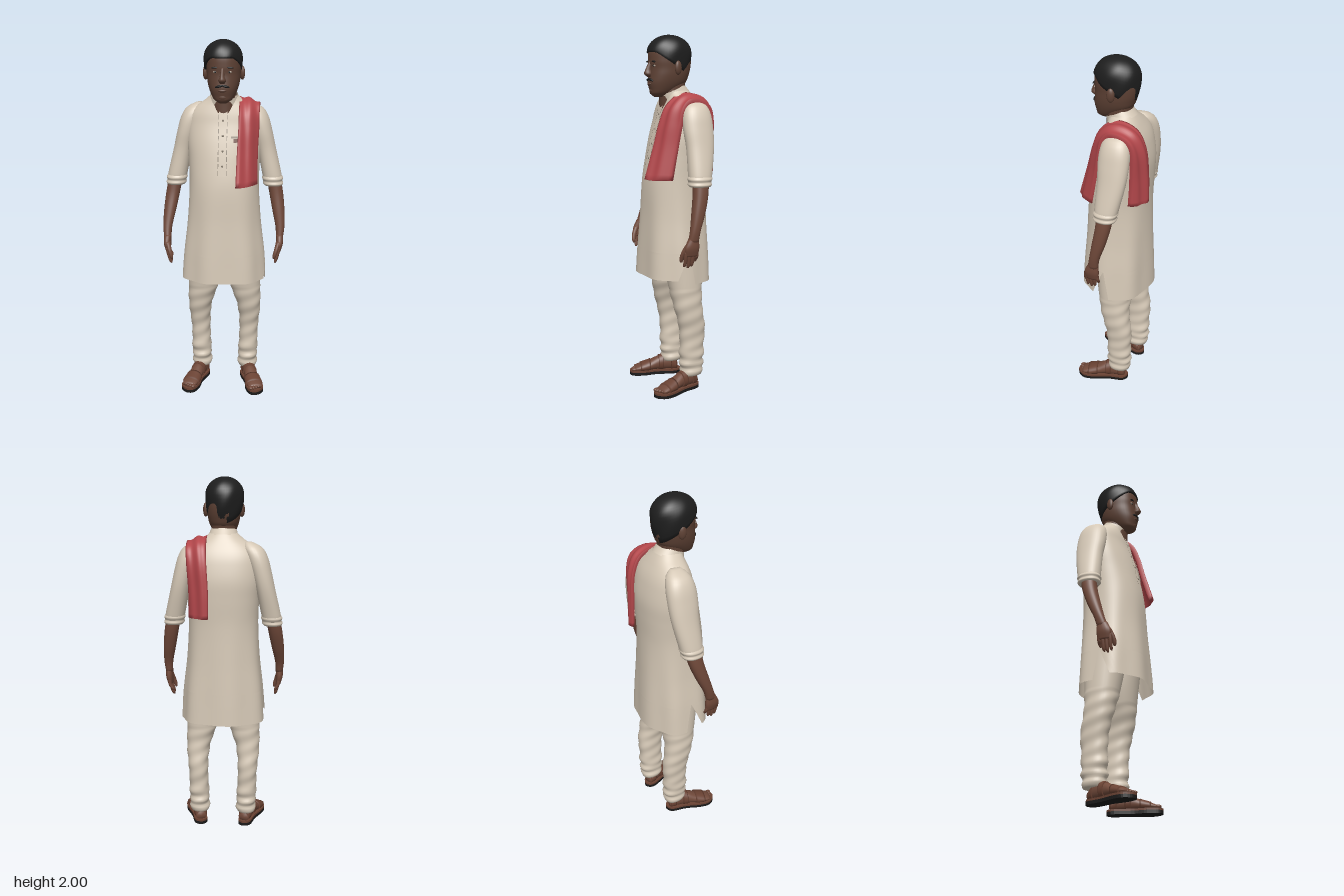
import * as THREE from 'three';

const mat = (name, color, side = THREE.FrontSide) => {
  const m = new THREE.MeshStandardMaterial({ color, side });
  m.name = name;
  return m;
};

// Smooth (Hermite) interpolation of rows [y, cx, cz, rx, rz] at height y
function rowAt(rows, y) {
  let i = 0;
  while (i < rows.length - 2 && y > rows[i + 1][0]) i++;
  const a = rows[i], b = rows[i + 1], h = b[0] - a[0];
  const t = Math.min(1, Math.max(0, (y - a[0]) / h));
  const p = rows[Math.max(0, i - 1)], q = rows[Math.min(rows.length - 1, i + 2)];
  return a.map((v, k) => {
    if (k === 0) return y;
    const m0 = (b[k] - p[k]) / (b[0] - p[0]) * h, m1 = (q[k] - v) / (q[0] - a[0]) * h;
    const t2 = t * t, t3 = t2 * t;
    return (2 * t3 - 3 * t2 + 1) * v + (t3 - 2 * t2 + t) * m0 + (3 * t2 - 2 * t3) * b[k] + (t3 - t2) * m1;
  });
}

// Point on the rounded cross-section at angle a
function ringPoint(r, a, n = 2.25, grow = 0) {
  const f = v => Math.sign(v) * Math.pow(Math.abs(v), 2 / n);
  return new THREE.Vector3(r[1] + (r[3] + grow) * f(Math.cos(a)), r[0], r[2] + (r[4] + grow) * f(Math.sin(a)));
}

// Surface through rings of points; closed joins each ring, caps fill the ends
function skin(rings, closed = true, caps = closed) {
  if (caps) {
    const mid = r => {
      const c = r.reduce((s, p) => s.add(p), new THREE.Vector3()).divideScalar(r.length);
      return r.map(() => c);
    };
    rings = [mid(rings[0]), ...rings, mid(rings[rings.length - 1])];
  }
  const n = rings[0].length, idx = [], cols = closed ? n : n - 1;
  for (let i = 0; i < rings.length - 1; i++) for (let j = 0; j < cols; j++) {
    const k = (j + 1) % n, a = i * n + j, b = i * n + k, d = a + n, c = b + n;
    idx.push(a, d, b, b, d, c);
  }
  const g = new THREE.BufferGeometry().setFromPoints(rings.flat());
  g.setIndex(idx);
  g.computeVertexNormals();
  return g;
}

function loft(rows, { y0 = rows[0][0], y1 = rows[rows.length - 1][0], steps = rows.length * 4, seg = 32, n = 2.25, grow = 0, caps = true, ripple = () => 0 } = {}) {
  const rings = [];
  for (let i = 0; i <= steps; i++) {
    const y = y0 + (y1 - y0) * i / steps, r = rowAt(rows, y);
    rings.push(Array.from({ length: seg }, (_, j) => {
      const a = j / seg * Math.PI * 2;
      return ringPoint(r, a, n, grow + ripple(y, a));
    }));
  }
  return skin(rings, true, caps);
}

// Thin plate lying on the front of a lofted surface
function patch(rows, x0, x1, y0, y1, off, n = 2.25) {
  const rings = [];
  for (let i = 0; i <= 10; i++) {
    const r = rowAt(rows, y0 + (y1 - y0) * i / 10);
    rings.push(Array.from({ length: 9 }, (_, j) => {
      const x = x1 + (x0 - x1) * j / 8, u = Math.min(1, Math.abs((x - r[1]) / r[3]));
      return new THREE.Vector3(x, r[0], r[2] + r[4] * Math.pow(1 - Math.pow(u, n), 1 / n) + off);
    }));
  }
  return skin(rings, false);
}

const TUNIC = [[0.64, 0, 0.005, 0.24, 0.192], [0.82, 0, 0.003, 0.226, 0.184], [1, 0, 0, 0.206, 0.175], [1.2, 0, -0.004, 0.195, 0.168],
  [1.35, 0, -0.02, 0.2, 0.158], [1.45, 0, -0.032, 0.208, 0.146], [1.55, 0, -0.038, 0.203, 0.122], [1.6, 0, -0.035, 0.19, 0.108],
  [1.64, 0, -0.03, 0.155, 0.092], [1.67, 0, -0.025, 0.11, 0.08], [1.7, 0, -0.015, 0.076, 0.07]];
const HEAD = [[1.665, 0, 0.085, 0.02, 0.025], [1.68, 0, 0.075, 0.045, 0.055], [1.7, 0, 0.062, 0.06, 0.072], [1.74, 0, 0.038, 0.078, 0.105],
  [1.78, 0, 0.027, 0.088, 0.113], [1.82, 0, 0.02, 0.092, 0.117], [1.86, 0, 0.02, 0.095, 0.12], [1.92, 0, 0.02, 0.092, 0.114], [1.97, 0, 0.02, 0.06, 0.08]];
const LEG = [[0.085, 0.135, -0.055, 0.05, 0.06], [0.11, 0.135, -0.055, 0.058, 0.069], [0.13, 0.136, -0.055, 0.052, 0.061], [0.155, 0.137, -0.055, 0.059, 0.073],
  [0.18, 0.137, -0.055, 0.053, 0.065], [0.21, 0.139, -0.055, 0.058, 0.073], [0.25, 0.14, -0.055, 0.054, 0.069], [0.36, 0.143, -0.055, 0.056, 0.076],
  [0.42, 0.145, -0.045, 0.061, 0.078], [0.5, 0.14, -0.03, 0.07, 0.083], [0.6, 0.122, -0.022, 0.087, 0.093], [0.75, 0.105, -0.015, 0.1, 0.11], [0.9, 0.1, 0, 0.1, 0.12]];
const FOOT = [[-0.13, 0, -0.045, 0.026, 0.022], [-0.08, 0, -0.065, 0.035, 0.045], [-0.02, 0, -0.064, 0.036, 0.042],
  [0.04, 0, -0.05, 0.042, 0.03], [0.1, 0, -0.04, 0.044, 0.02], [0.13, 0, -0.036, 0.038, 0.012]];

export function createModel() {
  const root = new THREE.Group();
  const cloth = mat('creamCloth', 0xd6c9b7, THREE.DoubleSide), seam = mat('seamThread', 0x8d8273, THREE.DoubleSide);
  const face = mat('faceSkin', 0x5f4235), skinM = mat('armSkin', 0x70493a), hairM = mat('blackHair', 0x1e1e1e, THREE.DoubleSide);
  const red = mat('redScarf', 0xb3474b), leather = mat('sandalLeather', 0x6a4233, THREE.DoubleSide), rubber = mat('soleRubber', 0x1b1a1a);
  const white = mat('eyeWhite', 0xa89a8c);
  const add = (name, geo, m, parent = root) => {
    const mesh = new THREE.Mesh(geo, m);
    mesh.name = name;
    parent.add(mesh);
    return mesh;
  };
  const ball = (name, m, p, s, parent = root) => {
    const b = add(name, new THREE.SphereGeometry(1, 20, 14), m, parent);
    b.position.set(...p);
    b.scale.set(...s);
    return b;
  };

  // Tunic body, then front and back skirt panels parted by side slits
  const wave = (y, a) => 0.006 * Math.max(0, Math.min(1, (1.25 - y) / 0.5)) * Math.sin(7 * a + 1);
  add('tunicBody', loft(TUNIC, { y0: 0.82, seg: 64, steps: 50, caps: false, ripple: wave }), cloth);
  for (const [name, start, slit, hem] of [['tunicFront', 0, 0.3, 0.668], ['tunicBack', Math.PI, 0.15, 0.642]]) {
    const rings = [];
    for (let i = 0; i <= 10; i++) {
      const y = hem + (0.82 - hem) * i / 10, d = slit * (1 - i / 10), r = rowAt(TUNIC, y);
      rings.push(Array.from({ length: 33 }, (_, j) => {
        const a = start + d + (Math.PI - 2 * d) * j / 32;
        return ringPoint(r, a, 2.25, wave(y, a));
      }));
    }
    add(name, skin(rings, false), cloth);
  }
  // Placket, buttons and chest pocket
  add('placket', patch(TUNIC, -0.024, 0.024, 1.275, 1.62, 0.004), cloth);
  for (const x of [-0.025, 0.021]) for (let i = 0; i < 9; i++)
    add('placketStitch', patch(TUNIC, x, x + 0.004, 1.28 + i * 0.037, 1.305 + i * 0.037, 0.006), seam);
  for (let i = 0; i < 4; i++) {
    const y = 1.33 + i * 0.08, r = rowAt(TUNIC, y);
    ball('button', seam, [0, y, r[2] + r[4] + 0.005], [0.006, 0.006, 0.003]);
  }
  add('chestPocket', patch(TUNIC, 0.045, 0.13, 1.38, 1.485, 0.005), cloth);
  add('pocketEdge', patch(TUNIC, 0.045, 0.13, 1.478, 1.488, 0.007), seam);
  add('pocketNote', patch(TUNIC, 0.06, 0.1, 1.455, 1.475, 0.008), leather);

  // Standing collar, open at the front and tilted forward
  const collar = add('collar', new THREE.CylinderGeometry(0.074, 0.088, 0.05, 40, 1, true, 0.25, Math.PI * 2 - 0.5), cloth);
  collar.position.set(0, 1.685, -0.002);
  collar.rotation.x = 0.42;
  add('neck', loft([[1.58, 0, 0.015, 0.06, 0.06], [1.65, 0, 0.008, 0.066, 0.066], [1.72, 0, 0.005, 0.067, 0.07], [1.8, 0, 0, 0.07, 0.08]]), face);

  // Head and features
  add('head', loft(HEAD, { seg: 40 }), face);
  add('nose', loft([[1.773, 0, 0.14, 0.012, 0.01], [1.788, 0, 0.145, 0.021, 0.024], [1.81, 0, 0.144, 0.013, 0.02], [1.855, 0, 0.13, 0.009, 0.012]], { n: 2, seg: 16 }), face);
  ball('lowerLip', face, [0, 1.735, 0.137], [0.024, 0.008, 0.012]);
  ball('chin', face, [0, 1.7, 0.115], [0.03, 0.02, 0.022]);
  for (const s of [-1, 1]) {
    ball('ear', face, [s * 0.1, 1.822, 0.012], [0.014, 0.038, 0.022]).rotation.y = s * 0.3;
    ball('eye', white, [s * 0.037, 1.833, 0.126], [0.014, 0.006, 0.008]);
    ball('iris', hairM, [s * 0.037, 1.833, 0.131], [0.006, 0.006, 0.004]);
    ball('eyebrow', hairM, [s * 0.038, 1.856, 0.13], [0.022, 0.005, 0.008]).rotation.z = -s * 0.08;
    const m = ball('moustache', hairM, [s * 0.018, 1.758, 0.137], [0.023, 0.007, 0.011]);
    m.rotation.set(0, s * 0.25, -s * 0.25);
  }
  // Hair cap whose lower edge is high at the forehead and low at the nape
  const hair = [];
  for (let i = 0; i <= 17; i++) hair.push(Array.from({ length: 48 }, (_, j) => {
    const a = j / 48 * Math.PI * 2, f = Math.sin(a);
    const bottom = f > 0 ? 1.835 + 0.07 * Math.min(1, Math.pow(f, 1.2) * 1.25) : 1.835 + 0.08 * f;
    const t = 1 - Math.max(0, i - 1) / 16, y = 2 - (2 - bottom) * t * t;
    const rise = Math.min(1, Math.max(0, (y - 1.89) / 0.11));
    let s = rise > 0 ? Math.sqrt(1 - Math.pow(rise, 2.2)) : 1 - 13 * (1.89 - y) ** 2;
    if (i === 0) s *= 0.8;
    s *= 1 + 0.012 * Math.sin(6 * a + y * 40);
    return new THREE.Vector3(-0.004 + 0.106 * s * Math.cos(a), y, 0.02 + 0.127 * s * f);
  }));
  add('hair', skin(hair, true, false), hairM);

  // Arms, hands, legs and sandals on both sides
  for (const s of [-1, 1]) {
    const d = s < 0 ? 0.045 : 0, side = s > 0 ? 'left' : 'right';
    const flip = (rows, dz = 0) => rows.map(r => [r[0], r[1] * s, r[2] + dz, r[3], r[4]]);
    add(side + 'Sleeve', loft(flip([[1.215, 0.273, -0.037, 0.052, 0.06], [1.25, 0.268, -0.04, 0.054, 0.065], [1.4, 0.235, -0.055, 0.053, 0.078],
      [1.5, 0.21, -0.055, 0.056, 0.085], [1.58, 0.185, -0.055, 0.058, 0.08], [1.63, 0.16, -0.055, 0.05, 0.06], [1.655, 0.14, -0.055, 0.02, 0.03]])), cloth);
    add(side + 'Cuff', loft(flip([[1.195, 0.276, -0.035, 0.05, 0.058], [1.205, 0.275, -0.035, 0.057, 0.065], [1.22, 0.272, -0.036, 0.054, 0.062],
      [1.235, 0.271, -0.037, 0.059, 0.068], [1.25, 0.268, -0.039, 0.053, 0.063]])), cloth);
    add(side + 'Forearm', loft(flip([[0.9, 0.316, 0.022 + d, 0.02, 0.03], [0.96, 0.318, 0.012 + d * 0.8, 0.025, 0.029], [1.05, 0.308, -0.01 + d * 0.5, 0.034, 0.037],
      [1.15, 0.293, -0.03 + d * 0.2, 0.039, 0.042], [1.25, 0.275, -0.04, 0.04, 0.045]])), skinM);
    const hand = new THREE.Group();
    hand.name = side + 'Hand';
    root.add(hand);
    add('palm', loft(flip([[0.825, 0.312, 0.03, 0.013, 0.036], [0.87, 0.317, 0.03, 0.02, 0.042], [0.92, 0.316, 0.021, 0.02, 0.029]], d), { seg: 20 }), skinM, hand);
    [0.79, 0.765, 0.757, 0.765].forEach((tip, k) => {
      const z = k * 0.021;
      add('finger', loft(flip([[tip, 0.293, z + 0.002, 0.005, 0.005], [tip + 0.012, 0.297, z, 0.009, 0.009],
        [0.82, 0.309, z, 0.01, 0.0105], [0.85, 0.314, z, 0.01, 0.01]], d), { seg: 12, n: 2 }), skinM, hand);
    });
    add('thumb', loft(flip([[0.79, 0.287, 0.079, 0.005, 0.006], [0.805, 0.289, 0.08, 0.01, 0.011], [0.84, 0.299, 0.074, 0.012, 0.013], [0.885, 0.312, 0.052, 0.014, 0.017]], d), { seg: 12, n: 2 }), skinM, hand);

    // Trouser leg gathered at the ankle
    add(side + 'TrouserLeg', loft(flip(LEG), { steps: 80, ripple: (y, a) => (y < 0.6 ? 0.002 * Math.sin(y * 75 + 2 * a) : 0) }), cloth);

    const foot = new THREE.Group();
    foot.name = side + 'Foot';
    foot.position.set(s * 0.16, 0, 0.04);
    foot.rotation.y = s * 0.28;
    root.add(foot);
    const outline = new THREE.CatmullRomCurve3([[0, -0.148], [0.034, -0.125], [0.037, -0.03], [0.052, 0.07], [0.044, 0.125], [0, 0.158],
      [-0.035, 0.147], [-0.048, 0.08], [-0.035, 0], [-0.034, -0.125]].map(([x, z]) => new THREE.Vector3(x * s, z, 0)), true);
    const shape = new THREE.Shape(outline.getPoints(48).slice(0, -1).map(p => new THREE.Vector2(p.x, p.y)));
    const slab = (top, depth) => new THREE.ExtrudeGeometry(shape, { depth, bevelEnabled: false }).rotateX(Math.PI / 2).translate(0, top, 0);
    add('sole', slab(0.017, 0.017), rubber, foot);
    add('insole', slab(0.028, 0.011), leather, foot);
    add('footSkin', loft(FOOT, { n: 2 }).rotateX(Math.PI / 2), skinM, foot);
    for (const [y0, y1] of [[0.035, 0.095], [-0.045, -0.015], [-0.125, -0.09]])
      add('strap', loft(FOOT, { y0, y1, n: 2, grow: 0.005, steps: 6 }).rotateX(Math.PI / 2), leather, foot);
    for (let k = 0; k < 5; k++) // big toe on the inner side
      ball('toe', skinM, [s * (-0.031 + k * 0.016), 0.036, 0.133 - k * k * 0.0018], [k ? 0.009 : 0.013, 0.01, 0.018], foot);
  }

  // Scarf folded over the left shoulder: [inner x, y, z] path and [width, drop y, drop z] of its outer edge
  const keys = [[0.075, 1.22, 0.195, 0.115, 0.005, -0.1], [0.08, 1.4, 0.142, 0.11, 0, -0.08], [0.085, 1.52, 0.11, 0.11, 0, -0.07], [0.086, 1.61, 0.072, 0.11, -0.01, -0.05],
    [0.086, 1.668, 0.005, 0.11, -0.025, -0.02], [0.086, 1.678, -0.06, 0.11, -0.035, 0], [0.085, 1.645, -0.135, 0.11, -0.025, 0.02],
    [0.08, 1.56, -0.178, 0.11, 0, 0.035], [0.07, 1.4, -0.193, 0.11, 0, 0.05], [0.07, 1.25, -0.195, 0.11, 0, 0.06]];
  const path = new THREE.CatmullRomCurve3(keys.map(k => new THREE.Vector3(k[0], k[1], k[2])));
  const drop = new THREE.CatmullRomCurve3(keys.map(k => new THREE.Vector3(k[3], k[4], k[5])), false, 'catmullrom');
  const scarf = [];
  for (let i = 0; i <= 60; i++) {
    const t = i / 60, p = path.getPoint(t), w = drop.getPoint(t), v = path.getTangent(t);
    const nrm = new THREE.Vector3(0, -v.z, v.y).normalize();
    const point = (u, off) => new THREE.Vector3(p.x + u * w.x, p.y + w.y * u * u, p.z + w.z * u * u)
      .addScaledVector(nrm, off);
    const ring = [];
    for (let j = 0; j <= 16; j++) ring.push(point(1 - j / 16, 0.009 + 0.005 * Math.sin((1 - j / 16) * 11 + t * 5)));
    for (let j = 0; j <= 16; j++) ring.push(point(j / 16, -0.012));
    scarf.push(ring);
  }
  add('shoulderScarf', skin(scarf), red);
  return root;
}
